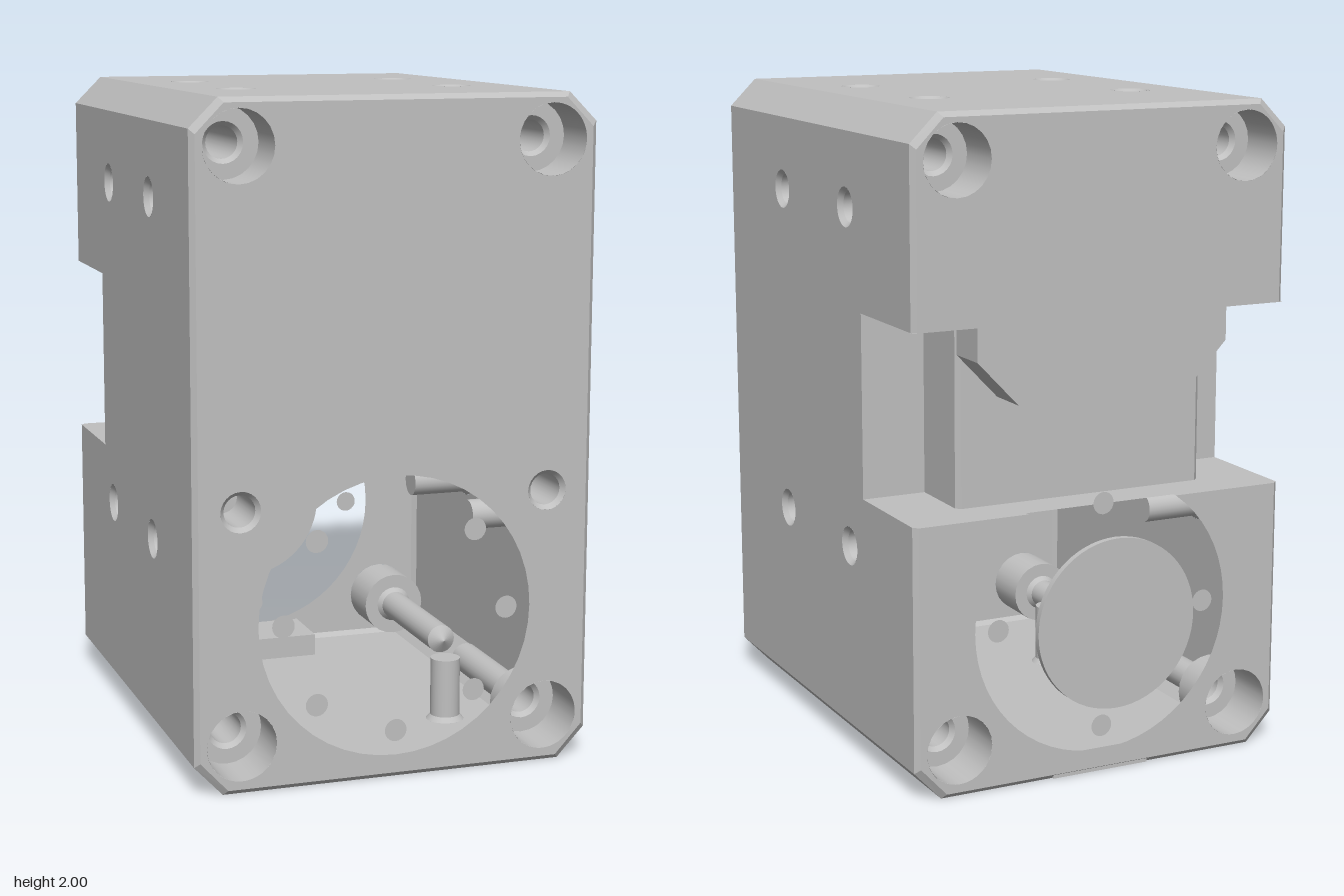
import * as THREE from 'three';

const W = 0.61, H = 2, ZF = 0.77, ZB = -0.69, B = 0.015; // body extents and edge bevel
const BORE_Y = 0.49, BORE_R = 0.42;
const SLOT_LO = 0.83, SLOT_HI = 1.39, SLOT_Z = -0.32;
const BLOCK_X = 0.41, BLOCK_Z = -0.55;
const SCREW = [0.145, 1.865]; // heights of the corner screws

const grey = new THREE.MeshStandardMaterial({ color: 0xc0c0c0, side: THREE.DoubleSide });
grey.name = 'machined grey';

export function createModel() {
  const model = new THREE.Group();
  model.name = 'housing';

  const add = (name, geometry) => {
    const mesh = new THREE.Mesh(geometry, grey);
    mesh.name = name;
    model.add(mesh);
    return mesh;
  };

  // flat sheet from an outline, with round holes [x, y, radius]
  const sheet = (pts, holes = []) => {
    const shape = new THREE.Shape(pts.map(p => new THREE.Vector2(p[0], p[1])));
    for (const [x, y, r] of holes) shape.holes.push(new THREE.Path().absarc(x, y, r, 0, Math.PI * 2, true));
    return new THREE.ShapeGeometry(shape, 24);
  };

  // row of flat quads between two copies of a path
  const strip = (pts, a, b) => {
    const v = [];
    for (let i = 0; i + 1 < pts.length; i++) {
      const [p, q] = [pts[i], pts[i + 1]];
      v.push(...a(p), ...b(p), ...b(q), ...a(p), ...b(q), ...a(q));
    }
    const g = new THREE.BufferGeometry();
    g.setAttribute('position', new THREE.Float32BufferAttribute(v, 3));
    g.computeVertexNormals();
    return g;
  };

  // revolved hole lining; profile is [radius, depth], normal points out of the body
  const drill = (name, profile, position, normal) => {
    const pts = profile.map(([r, d]) => new THREE.Vector2(r, -d));
    for (let i = 0; i + 1 < pts.length; i++) {
      const mesh = add(name, new THREE.LatheGeometry([pts[i + 1], pts[i]], 24));
      mesh.position.set(...position);
      mesh.quaternion.setFromUnitVectors(new THREE.Vector3(0, 1, 0), new THREE.Vector3(...normal));
    }
  };
  const tapped = [[0.06, 0], [0.047, 0.015], [0.047, 0.2], [0, 0.2]];
  const counterbore = [[0.105, 0], [0.105, 0.16], [0.06, 0.16], [0.047, 0.175], [0.047, 0.62], [0, 0.65]];

  // chamfered outline and its bevelled inset
  const outline = [[W, 0.09], [W, 1.915], [0.525, H], [-0.525, H], [-W, 1.915], [-W, 0.09], [-0.525, 0], [0.525, 0]];
  const inset = ([x, y]) => [x * (1 - B / W), y > 1.9 ? y - B : y < 0.1 ? y + B : y];
  const flat = z => p => [p[0], p[1], z];
  const flatInset = z => p => [...inset(p), z];
  const corners = SCREW.flatMap(y => [-0.47, 0.47].map(x => [x, y]));

  // front plate
  const midHoles = [[-0.47, 0.835], [0.47, 0.835]];
  add('frontPlate', sheet(outline.map(inset), [
    [0, BORE_Y, BORE_R],
    ...corners.map(([x, y]) => [x, y, 0.105]),
    ...midHoles.map(([x, y]) => [x, y, 0.06]),
  ])).position.z = ZF;
  add('frontBevel', strip([...outline, outline[0]], flat(ZF - B), flatInset(ZF)));
  for (const [x, y] of midHoles) drill('frontHole', tapped, [x, y, ZF], [0, 0, 1]);
  for (const [x, y] of corners) {
    drill('frontScrewHole', counterbore, [x, y, ZF], [0, 0, 1]);
    drill('backScrewHole', counterbore, [x, y, ZB], [0, 0, -1]);
  }

  // back plates above and below the slot
  const lip = [[-BLOCK_X, SLOT_HI], [-BLOCK_X, 1.29], [-0.28, 1.155], [0.28, 1.155], [BLOCK_X, 1.29], [BLOCK_X, SLOT_HI]];
  const upperEdge = [[W, SLOT_HI], ...outline.slice(1, 5), [-W, SLOT_HI]];
  const lowerEdge = [[-W, SLOT_LO], ...outline.slice(5), outline[0], [W, SLOT_LO]];
  const a0 = Math.asin((SLOT_LO - BORE_Y) / BORE_R);
  const arc = [];
  for (let i = 0; i <= 48; i++) {
    const a = a0 - (Math.PI + 2 * a0) * i / 48;
    arc.push([BORE_R * Math.cos(a), BORE_Y + BORE_R * Math.sin(a)]);
  }
  const bores = corners.map(([x, y]) => [x, y, 0.105]);
  add('upperBackPlate', sheet([...upperEdge.map(inset), ...lip], bores.slice(2))).position.z = ZB;
  add('lowerBackPlate', sheet([...lowerEdge.map(inset), ...arc], bores.slice(0, 2))).position.z = ZB;
  add('upperBackBevel', strip(upperEdge, flat(ZB + B), flatInset(ZB)));
  add('lowerBackBevel', strip(lowerEdge, flat(ZB + B), flatInset(ZB)));

  // side walls with the slot cut out of the rear edge
  const sideHoles = [0.66, 1.69].flatMap(y => [-0.21, 0.3].map(z => [y, z]));
  const zf = ZF - B, zb = ZB + B;
  for (const s of [-1, 1]) {
    const side = sheet([
      [-zf, 0.09], [-zb, 0.09], [-zb, SLOT_LO], [-SLOT_Z, SLOT_LO],
      [-SLOT_Z, SLOT_HI], [-zb, SLOT_HI], [-zb, 1.915], [-zf, 1.915],
    ], sideHoles.map(([y, z]) => [-z, y, 0.06]));
    add('sideWall', side.rotateY(Math.PI / 2)).position.x = s * W;
    for (const [y, z] of sideHoles) drill('sideHole', tapped, [s * W, y, z], [s, 0, 0]);
    // corner chamfers
    for (const edge of [[[s * W, 1.915], [s * 0.525, H]], [[s * W, 0.09], [s * 0.525, 0]]]) {
      add('cornerChamfer', strip(edge, flat(zf), flat(zb)));
    }
    // slot ceiling beside the block
    add('slotCeiling', sheet([[s * BLOCK_X, ZB], [s * W, ZB], [s * W, SLOT_Z], [s * BLOCK_X, SLOT_Z]])
      .rotateX(Math.PI / 2)).position.y = SLOT_HI;
  }

  // top and bottom walls
  const wall = [[-0.525, zb], [0.525, zb], [0.525, zf], [-0.525, zf]];
  for (const [name, y, n, zs] of [['top', H, 1, [-0.22, 0.3]], ['bottom', 0, -1, [0.3]]]) {
    const holes = zs.flatMap(z => [-0.34, 0.34].map(x => [x, z, 0.06]));
    add(name + 'Wall', sheet(wall, holes).rotateX(Math.PI / 2)).position.y = y;
    for (const [x, z] of holes) drill(name + 'Hole', tapped, [x, y, z], [0, n, 0]);
  }

  // slot: floor, walls around the middle block, and underside of the overhang
  const c = 0.015;
  const slotPath = [
    [W, SLOT_Z], [BLOCK_X, SLOT_Z], [BLOCK_X, BLOCK_Z + c], [BLOCK_X - c, BLOCK_Z],
    [c - BLOCK_X, BLOCK_Z], [-BLOCK_X, BLOCK_Z + c], [-BLOCK_X, SLOT_Z], [-W, SLOT_Z],
  ];
  add('slotFloor', sheet([[-W, zb], [W, zb], ...slotPath]).rotateX(Math.PI / 2)).position.y = SLOT_LO;
  for (const s of [-1, 1]) {
    add('slotFloorEdge', sheet([[s * 0.247, zb], [s * W, zb], [s * (W - B), ZB], [s * 0.247, ZB]])
      .rotateX(Math.PI / 2)).position.y = SLOT_LO;
  }
  add('slotWalls', strip(slotPath, p => [p[0], SLOT_LO, p[1]], p => [p[0], SLOT_HI, p[1]]));
  add('overhang', strip(lip, flat(BLOCK_Z), flat(ZB)));

  // small discs around the bore
  for (let i = 0; i < 8; i++) {
    const a = i * Math.PI / 4;
    for (const z of i % 2 ? [ZF] : [ZF, ZB]) {
      add('boltDisc', new THREE.CircleGeometry(0.034, 20))
        .position.set(0.345 * Math.cos(a), BORE_Y + 0.345 * Math.sin(a), z);
    }
  }

  // rear cover disc
  const cover = add('coverDisc', new THREE.CylinderGeometry(0.26, 0.26, 0.02, 64));
  cover.rotation.x = Math.PI / 2;
  cover.position.set(0, BORE_Y, -0.77);

  // small block under the rear opening
  add('rearKey', new THREE.BoxGeometry(0.32, 0.073, 0.21)).position.set(0, 0.0385, -0.583);

  return model;
}
